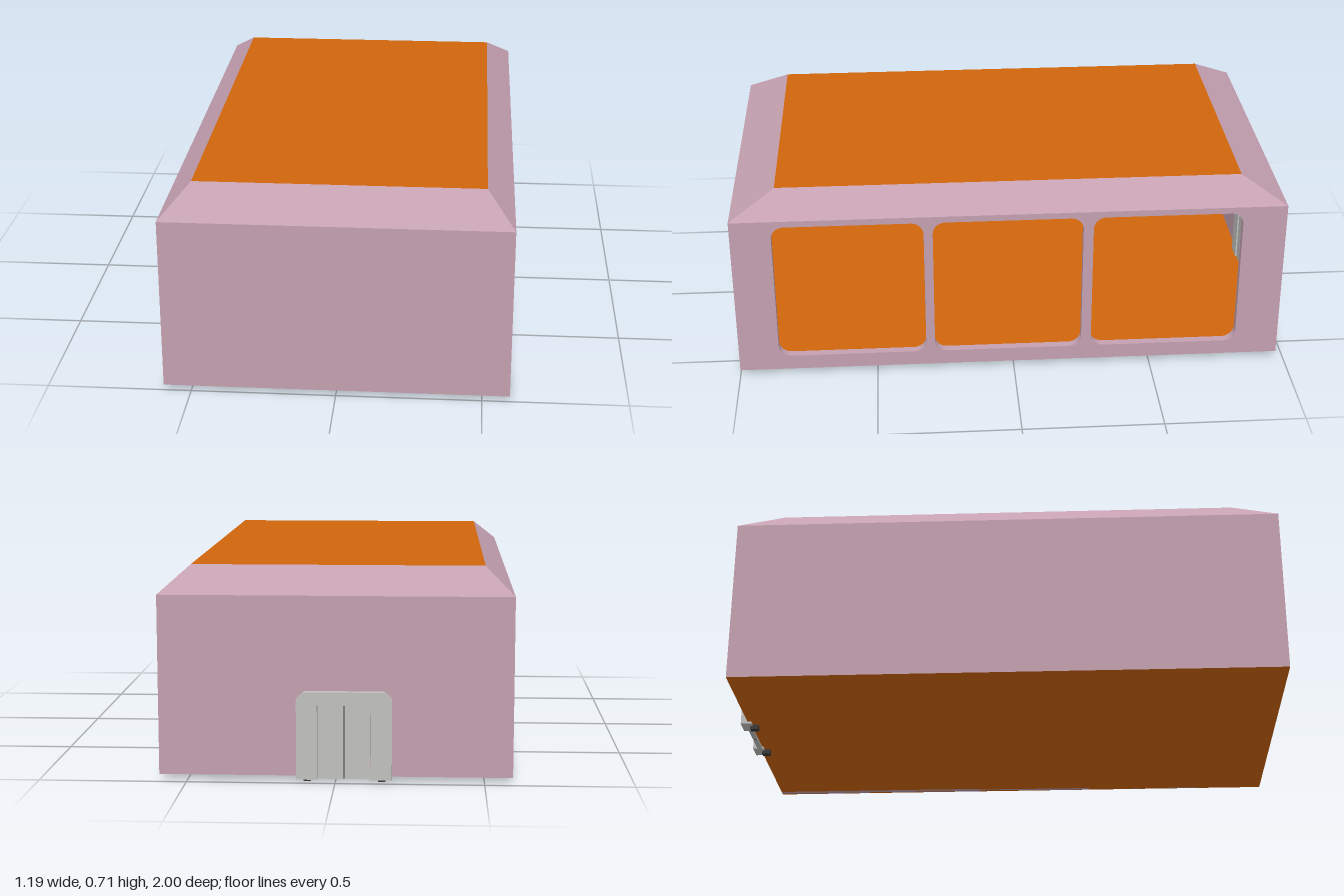
import * as THREE from 'three';

const pink = new THREE.MeshStandardMaterial({ color: 0xc4a0b0, side: THREE.DoubleSide });
pink.name = 'dusty pink';
const orange = new THREE.MeshStandardMaterial({ color: 0xd0660c, side: THREE.DoubleSide });
orange.name = 'orange';
const grey = new THREE.MeshStandardMaterial({ color: 0xc0c0be });
grey.name = 'light grey';
const dark = new THREE.MeshStandardMaterial({ color: 0x3a3a3a });
dark.name = 'dark grey';

// Main dimensions
const X = 0.595, BACK = -0.975, FRONT = 1, FLOOR = 0.02, EAVE = 0.63, TOP = 0.715;
const ROOF_X = 0.5, ROOF_BACK = -0.82, ROOF_FRONT = 0.84;

function add(parent, name, geometry, material, x = 0, y = 0, z = 0) {
  const mesh = new THREE.Mesh(geometry, material);
  mesh.name = name;
  mesh.position.set(x, y, z);
  parent.add(mesh);
  return mesh;
}

// Flat four-cornered panel, corners counter-clockwise from outside
function quad(a, b, c, d) {
  const g = new THREE.BufferGeometry();
  g.setAttribute('position', new THREE.Float32BufferAttribute([a, b, c, a, c, d].flat(), 3));
  g.computeVertexNormals();
  return g;
}

// Corners of a level rectangle: front left, front right, back right, back left as drawn
function ring(x, y, back, front) {
  return [[-x, y, front], [x, y, front], [x, y, back], [-x, y, back]];
}

function roundedRect(path, x0, y0, x1, y1, r) {
  path.moveTo(x0 + r, y0);
  path.lineTo(x1 - r, y0);
  path.absarc(x1 - r, y0 + r, r, -Math.PI / 2, 0);
  path.lineTo(x1, y1 - r);
  path.absarc(x1 - r, y1 - r, r, 0, Math.PI / 2);
  path.lineTo(x0 + r, y1);
  path.absarc(x0 + r, y1 - r, r, Math.PI / 2, Math.PI);
  path.lineTo(x0, y0 + r);
  path.absarc(x0 + r, y0 + r, r, Math.PI, Math.PI * 1.5);
  return path;
}

function createShell() {
  const shell = new THREE.Group();
  shell.name = 'building';
  const base = ring(X, FLOOR, BACK, FRONT);
  const eave = ring(X, EAVE, BACK, FRONT);
  const top = ring(ROOF_X, TOP, ROOF_BACK, ROOF_FRONT);
  const sides = ['front', 'left', 'back', 'right'];

  // Plain walls and the sloping roof edge
  sides.forEach((side, i) => {
    const j = (i + 1) % 4;
    if (side !== 'left') add(shell, side + 'Wall', quad(base[i], base[j], eave[j], eave[i]), pink);
    add(shell, side + 'RoofSlope', quad(eave[i], eave[j], top[j], top[i]), pink);
  });
  add(shell, 'roofPanel', quad(...top), orange);
  add(shell, 'floor', quad(...[...base].reverse()), orange);

  // Thick wall with three open bays
  const wall = new THREE.Shape();
  wall.moveTo(-FRONT, FLOOR);
  wall.lineTo(-BACK, FLOOR);
  wall.lineTo(-BACK, EAVE);
  wall.lineTo(-FRONT, EAVE);
  wall.closePath();
  for (const start of [-0.855, -0.288, 0.283]) {
    wall.holes.push(roundedRect(new THREE.Path(), start, 0.075, start + 0.535, 0.607, 0.045));
  }
  const wallGeometry = new THREE.ExtrudeGeometry(wall, { depth: 0.03, bevelEnabled: false, curveSegments: 6 });
  wallGeometry.rotateY(Math.PI / 2);
  add(shell, 'openBayWall', wallGeometry, pink, X - 0.03);
  return shell;
}

function createDoor() {
  const door = new THREE.Group();
  door.name = 'backDoor';
  door.position.set(-0.03, 0, 0);

  // Surround with clipped top corners, open at the bottom
  const outline = [[-0.16, 0.012], [-0.16, 0.285], [-0.135, 0.31], [0.135, 0.31], [0.16, 0.285],
    [0.16, 0.012], [0.09, 0.012], [0.09, 0.265], [-0.09, 0.265], [-0.09, 0.012]];
  const shape = new THREE.Shape(outline.map(([x, y]) => new THREE.Vector2(x, y)));
  add(door, 'doorSurround', new THREE.ExtrudeGeometry(shape, { depth: 0.04, bevelEnabled: false }), grey, 0, 0, -1);

  // Two recessed leaves with a narrow gap, and small feet
  for (const s of [-1, 1]) {
    const side = s > 0 ? 'left' : 'right';
    add(door, side + 'DoorLeaf', new THREE.BoxGeometry(0.087, 0.253, 0.018), grey, s * 0.0455, 0.1385, -0.974);
    add(door, side + 'DoorFoot', new THREE.BoxGeometry(0.025, 0.018, 0.03), dark, s * 0.125, 0.009, -0.953);
  }
  add(door, 'doorSeam', new THREE.BoxGeometry(0.006, 0.253, 0.01), dark, 0, 0.1385, -0.974);
  return door;
}

export function createModel() {
  const model = new THREE.Group();
  model.name = 'openBayBuilding';
  model.add(createShell(), createDoor());
  return model;
}
